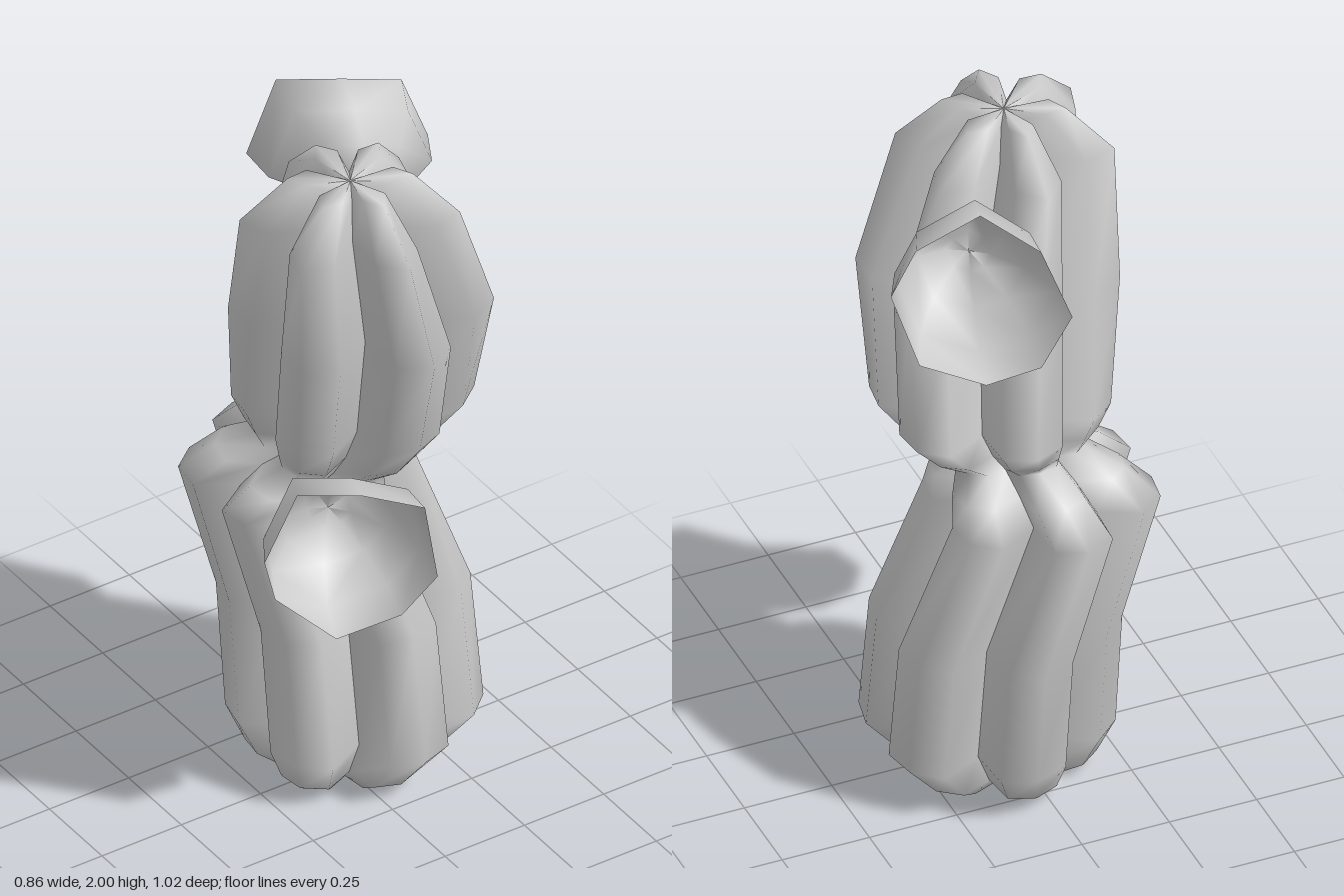
import * as THREE from 'three';

const material = new THREE.MeshStandardMaterial({ color: 0xcccccc, side: THREE.DoubleSide });

// Surface through rows of [x, y, z] points, smooth inside and sharp at its borders
function loft(rows, name, closed = false) {
  const n = rows[0].length;
  const index = [];
  for (let i = 0; i < rows.length - 1; i++) {
    for (let j = 0; j < (closed ? n : n - 1); j++) {
      const k = (j + 1) % n;
      const a = i * n + j, b = i * n + k, c = a + n, d = b + n;
      index.push(a, b, d, a, d, c);
    }
  }
  const geometry = new THREE.BufferGeometry();
  geometry.setAttribute('position', new THREE.Float32BufferAttribute(rows.flat(2), 3));
  geometry.setIndex(index);
  geometry.computeVertexNormals();
  const mesh = new THREE.Mesh(geometry, material);
  mesh.name = name;
  return mesh;
}

// Trunk rings: y, centre x, centre z, rib radius, shoulder ratio, groove ratio, groove drop, tilt
const RINGS = [
  [0.00, 0.04, -0.05, 0.01, 1.00, 1.00, 0, 0],
  [0.00, 0.04, -0.05, 0.20, 0.92, 0.62, 0, 0],
  [0.04, 0.05, -0.05, 0.265, 0.93, 0.62, 0, 0],
  [0.15, 0.075, -0.045, 0.34, 0.95, 0.60, 0, 0],
  [0.52, 0.07, -0.09, 0.335, 0.95, 0.60, 0, 0],
  [0.91, -0.04, -0.14, 0.315, 0.93, 0.57, 0, 0],
  [0.975, -0.01, -0.11, 0.26, 0.94, 0.62, 0, 0.1],
  [1.02, 0.015, -0.07, 0.19, 0.97, 0.75, 0, 0.18],
  [1.08, 0.04, -0.05, 0.26, 0.93, 0.62, 0, 0.1],
  [1.17, 0.06, -0.03, 0.32, 0.93, 0.57, 0, 0],
  [1.52, 0.03, 0.055, 0.35, 0.88, 0.50, 0, 0],
  [1.87, -0.045, 0.115, 0.29, 0.80, 0.40, 0, 0],
  [1.995, -0.04, 0.11, 0.165, 0.72, 0.36, 0.03, 0],
  [1.98, -0.04, 0.11, 0.003, 1.00, 1.00, 0, 0],
];
const RIBS = 6;

// One rounded rib running from the foot to the crown
function rib(i) {
  const mid = (i / RIBS) * Math.PI * 2;
  const half = Math.PI / RIBS;
  const rows = RINGS.map(([y, cx, cz, r, shoulder, groove, drop, tilt]) =>
    [-1, -0.55, 0, 0.55, 1].map((u) => {
      const edge = Math.abs(u) === 1;
      const radius = r * (edge ? groove : u === 0 ? 1 : shoulder);
      const a = mid + u * half;
      const dz = Math.cos(a) * radius;
      return [cx + Math.sin(a) * radius, y - (edge ? drop : 0) - tilt * dz, cz + dz];
    }));
  return loft(rows, 'rib');
}

// Cup-shaped flower: an uneven rim drawn down to a small rounded base
function flower(base, rim, name) {
  const centre = [0, 1, 2].map((k) => rim.reduce((s, p) => s + p[k], 0) / rim.length);
  const profile = [[0, 0], [0.02, 0.25], [0.2, 0.6], [0.55, 0.9], [1, 1]];
  const rows = profile.map(([depth, spread]) => rim.map((p) =>
    p.map((v, k) => base[k] + (centre[k] - base[k]) * depth + (v - centre[k]) * spread)));
  return loft(rows, name, true);
}

export function createModel() {
  const model = new THREE.Group();
  model.name = 'cactus';

  const trunk = new THREE.Group();
  trunk.name = 'trunk';
  for (let i = 0; i < RIBS; i++) trunk.add(rib(i));
  model.add(trunk);

  // Lower flower, opening to the front
  model.add(flower([-0.13, 0.97, 0.14], [
    [-0.20, 1.20, 0.41], [-0.01, 1.09, 0.42], [-0.03, 0.93, 0.51], [-0.09, 0.78, 0.43],
    [-0.27, 0.75, 0.39], [-0.39, 0.86, 0.28], [-0.43, 1.00, 0.29], [-0.32, 1.17, 0.28],
  ], 'lowerFlower'));

  // Upper flower, opening to the back
  model.add(flower([0.16, 1.73, -0.12], [
    [0.43, 1.73, -0.23], [0.38, 1.90, -0.28], [0.20, 1.97, -0.29], [0.09, 1.92, -0.44],
    [0.01, 1.70, -0.46], [0.12, 1.60, -0.51], [0.23, 1.50, -0.40], [0.40, 1.58, -0.35],
  ].reverse(), 'upperFlower'));

  return model;
}
